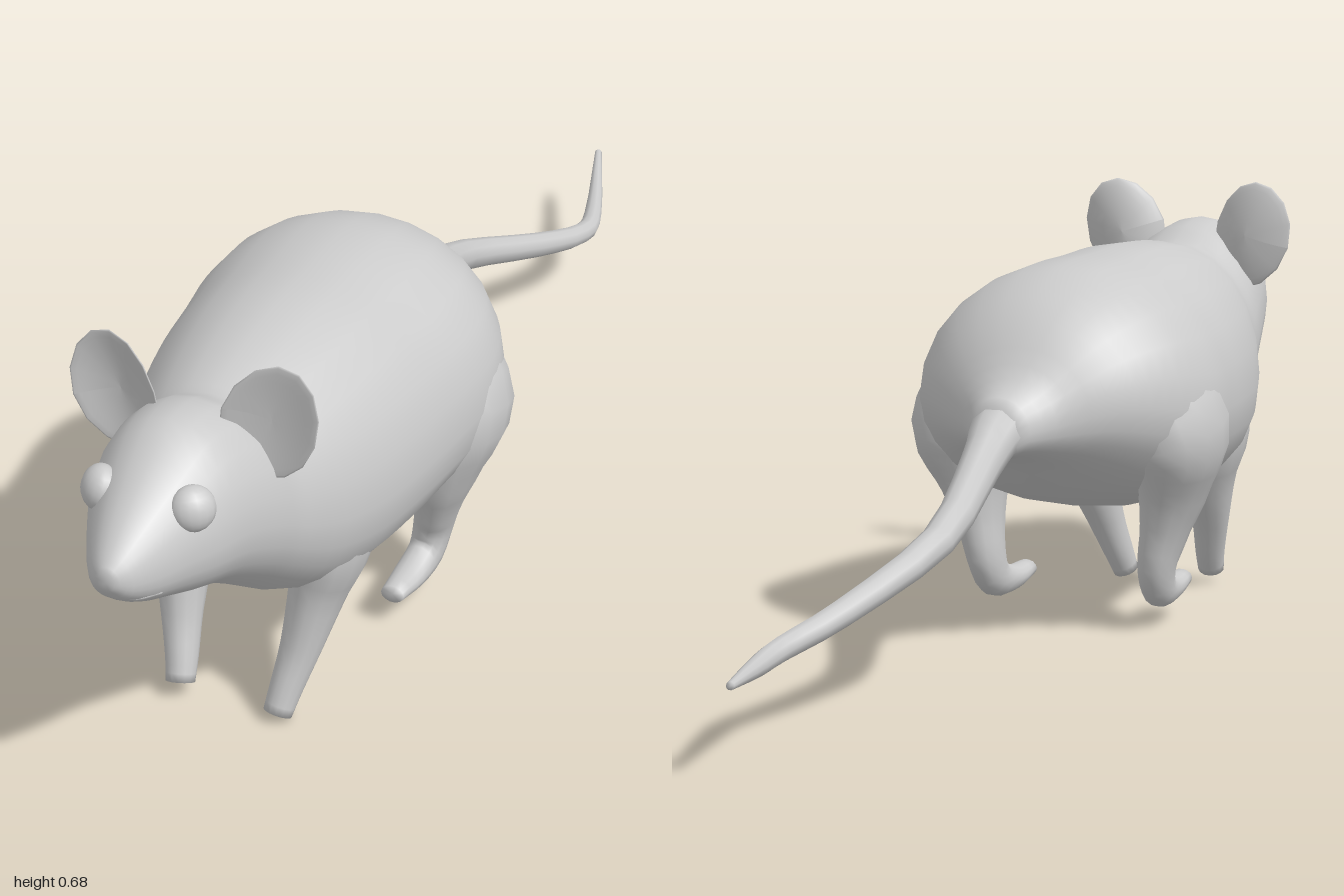
import * as THREE from 'three';

const material = new THREE.MeshStandardMaterial({ color: 0xcccccc });
const round = a => [Math.cos(a), Math.sin(a)];
// Egg-shaped torso section: tall arched back, shallower and flatter belly
const egg = a => {
  const c = Math.cos(a), s = Math.sin(a);
  return s >= 0 ? [c, s * 1.16] : [Math.sign(c) * Math.abs(c) ** 0.85, -(Math.abs(s) ** 0.9) * 0.84];
};

function add(group, name, geometry) {
  const mesh = new THREE.Mesh(geometry, material);
  mesh.name = name;
  group.add(mesh);
  return mesh;
}

// Skin smooth rings along a path; each row is [x, y, z, sideRadius, depthRadius]
function loft(rows, { sides = 14, steps = 3, section = round, axis = null } = {}) {
  const curve = pick => new THREE.CatmullRomCurve3(rows.map(pick), false, 'catmullrom', 0.5);
  const path = curve(r => new THREE.Vector3(r[0], r[1], r[2]));
  const radii = curve(r => new THREE.Vector3(r[3], r[4], 0));
  const n = (rows.length - 1) * steps;
  const pos = [], index = [];
  for (let i = 0; i <= n; i++) {
    const p = path.getPoint(i / n), r = radii.getPoint(i / n);
    const t = axis ?? path.getTangent(i / n);
    const side = new THREE.Vector3(1, 0, 0).addScaledVector(t, -t.x).normalize();
    const up = new THREE.Vector3().crossVectors(t, side);
    for (let j = 0; j < sides; j++) {
      const [u, v] = section((j / sides) * Math.PI * 2);
      const q = p.clone().addScaledVector(side, u * r.x).addScaledVector(up, v * r.y);
      pos.push(q.x, q.y, q.z);
    }
  }
  for (let i = 0; i < n; i++) {
    for (let j = 0; j < sides; j++) {
      const k = (j + 1) % sides;
      const a = i * sides + j, b = i * sides + k, c = a + sides, d = b + sides;
      index.push(a, b, c, b, d, c);
    }
  }
  // Close both ends
  const start = pos.length / 3, last = n * sides;
  for (const t of [0, 1]) pos.push(...path.getPoint(t).toArray());
  for (let j = 0; j < sides; j++) {
    const k = (j + 1) % sides;
    index.push(start, k, j, start + 1, last + j, last + k);
  }
  const g = new THREE.BufferGeometry();
  g.setAttribute('position', new THREE.Float32BufferAttribute(pos, 3));
  g.setIndex(index);
  g.computeVertexNormals();
  return g;
}

// Torso and head: [z, top, bottom, halfWidth]
const BODY = [
  [-0.13, 0.395, 0.315, 0.04], [-0.07, 0.43, 0.305, 0.08], [-0.016, 0.497, 0.285, 0.145],
  [0.04, 0.545, 0.255, 0.195], [0.118, 0.58, 0.215, 0.238], [0.2, 0.592, 0.19, 0.25],
  [0.3, 0.595, 0.182, 0.238], [0.4, 0.6, 0.182, 0.225], [0.5, 0.597, 0.187, 0.205],
  [0.59, 0.588, 0.215, 0.178], [0.655, 0.58, 0.26, 0.15], [0.71, 0.605, 0.3, 0.138],
  [0.786, 0.615, 0.35, 0.12], [0.85, 0.592, 0.378, 0.1], [0.9, 0.566, 0.4, 0.077],
  [0.945, 0.54, 0.42, 0.055], [0.98, 0.515, 0.445, 0.033], [0.998, 0.498, 0.47, 0.013],
];

const TAIL = [
  [0, 0.365, -0.04, 0.06, 0.055], [0, 0.35, -0.12, 0.044, 0.042], [-0.008, 0.312, -0.2, 0.032, 0.034],
  [-0.028, 0.23, -0.4, 0.026, 0.026], [0.03, 0.155, -0.6, 0.021, 0.021], [0.068, 0.122, -0.72, 0.018, 0.018],
  [0.06, 0.115, -0.81, 0.015, 0.015], [0.003, 0.13, -1, 0.006, 0.006],
];

const FRONT_LEG = [
  [0.12, 0.37, 0.5, 0.06, 0.09], [0.122, 0.27, 0.512, 0.055, 0.085], [0.105, 0.195, 0.53, 0.042, 0.062],
  [0.09, 0.11, 0.562, 0.031, 0.036], [0.077, 0.05, 0.588, 0.025, 0.028], [0.07, 0.012, 0.607, 0.022, 0.022],
];

const HIND_LEG = [
  [0.15, 0.43, 0.14, 0.06, 0.08], [0.186, 0.33, 0.175, 0.079, 0.115], [0.176, 0.24, 0.19, 0.057, 0.09],
  [0.162, 0.165, 0.187, 0.038, 0.062], [0.15, 0.105, 0.183, 0.03, 0.046], [0.145, 0.063, 0.205, 0.027, 0.034],
  [0.14, 0.052, 0.262, 0.026, 0.021], [0.138, 0.058, 0.325, 0.019, 0.014],
];

// Mirror a limb to one side, shifting its foot while the hip stays put
function pose(rows, side, spread, lift) {
  return rows.map(([x, y, z, a, b]) => {
    const k = Math.max(0, 1 - y / 0.36);
    return [side * (x + spread * k), y + lift * k, z, a, b];
  });
}

// Thin oval ear with its rim cupped forward
function earGeometry() {
  const g = new THREE.SphereGeometry(1, 14, 12).rotateX(Math.PI / 2).scale(0.07, 0.094, 0.007);
  const p = g.attributes.position;
  for (let i = 0; i < p.count; i++) {
    const x = p.getX(i) / 0.07, y = p.getY(i) / 0.094;
    p.setZ(i, p.getZ(i) + 0.026 * (x * x + 0.4 * y * y));
  }
  g.computeVertexNormals();
  return g;
}

export function createModel() {
  const model = new THREE.Group();
  model.name = 'mouse';

  const bodyRows = BODY.map(([z, top, bottom, w]) => {
    const h = (top - bottom) / 2;
    return [0, bottom + h * 0.84, z, w, h];
  });
  add(model, 'body', loft(bodyRows, { sides: 24, section: egg, axis: new THREE.Vector3(0, 0, 1) }));

  // Tail runs backwards from the rump
  add(model, 'tail', loft(TAIL, { sides: 10 }));

  for (const side of [1, -1]) {
    const label = side > 0 ? 'left' : 'right';
    const right = side < 0 ? 1 : 0;
    add(model, label + 'FrontLeg', loft(pose(FRONT_LEG, side, 0.018 * right, 0.014 * right)));
    add(model, label + 'HindLeg', loft(pose(HIND_LEG, side, 0, 0.004 * right)));

    const ear = add(model, label + 'Ear', earGeometry());
    ear.position.set(side * 0.114, 0.592, 0.698);
    ear.rotation.set(0, side * 0.1, side * -0.3);

    const eye = add(model, label + 'Eye', new THREE.SphereGeometry(1, 16, 12));
    eye.scale.set(0.033, 0.033, 0.026);
    eye.position.set(side * 0.069, 0.538, 0.868);
    eye.rotation.set(-0.3, side * 0.8, 0, 'YXZ');
  }

  // Fine lip line under the nose
  const lip = new THREE.CatmullRomCurve3([
    [-0.05, 0.44, 0.935], [-0.026, 0.445, 0.967], [0, 0.46, 0.985], [0.026, 0.445, 0.967], [0.05, 0.44, 0.935],
  ].map(p => new THREE.Vector3(...p)));
  add(model, 'mouth', new THREE.TubeGeometry(lip, 16, 0.004, 5));

  return model;
}
